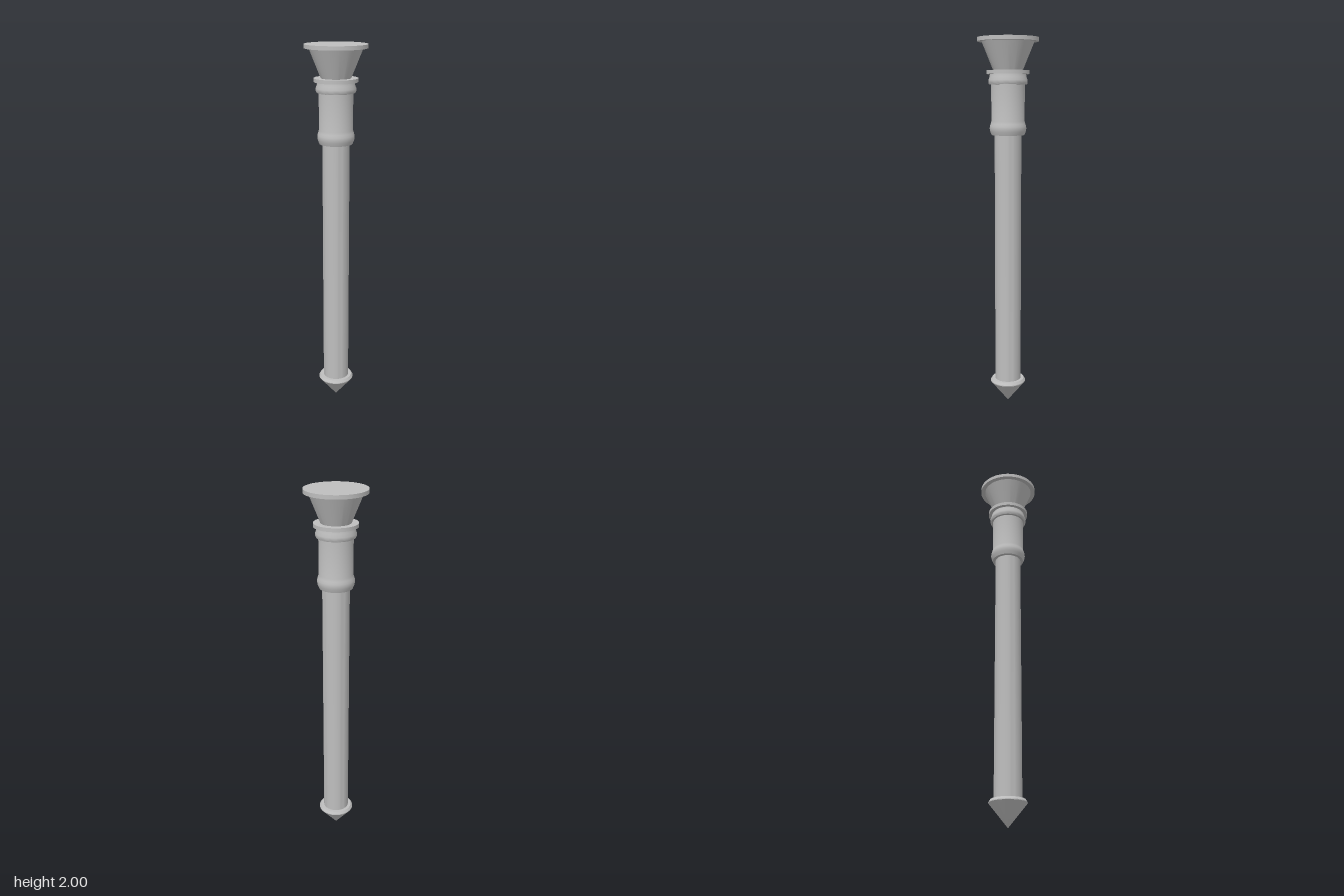
import * as THREE from 'three';
import { toCreasedNormals } from 'three/addons/utils/BufferGeometryUtils.js';

const SEGMENTS = 48;

export function createModel() {
  const group = new THREE.Group();
  group.name = 'post';
  const grey = new THREE.MeshStandardMaterial({ color: 0xbebebe });
  grey.name = 'grey';

  // Turns a profile of [radius, height] pairs, listed from bottom to top.
  const turn = (name, profile) => {
    const points = profile.map(([r, y]) => new THREE.Vector2(r, y));
    const geometry = toCreasedNormals(new THREE.LatheGeometry(points, SEGMENTS), 0.55);
    const mesh = new THREE.Mesh(geometry, grey);
    mesh.name = name;
    group.add(mesh);
  };

  // Pointed foot with a bevelled shoulder
  turn('tip', [[0, 0], [0.097, 0.12], [0.097, 0.124], [0.088, 0.137], [0, 0.137]]);

  // Long plain shaft
  turn('shaft', [[0.071, 0.13], [0.071, 1.51]]);

  // Sleeve with a swollen lower rim
  turn('sleeve', [
    [0.07, 1.5], [0.087, 1.5], [0.094, 1.518], [0.097, 1.533], [0.096, 1.545],
    [0.092, 1.558], [0.088, 1.572], [0.088, 1.77],
  ]);

  // Rounded bead under the collar
  turn('bead', [
    [0.086, 1.762], [0.099, 1.762], [0.103, 1.77], [0.103, 1.784],
    [0.097, 1.8], [0.094, 1.818],
  ]);

  // Thin collar ring
  turn('collar', [[0.09, 1.815], [0.113, 1.815], [0.113, 1.834], [0, 1.834]]);

  // Flared head
  turn('head', [[0.076, 1.83], [0.139, 1.985]]);

  // Flat disc on top
  turn('cap', [[0, 1.98], [0.161, 1.98], [0.161, 2], [0, 2]]);

  return group;
}
